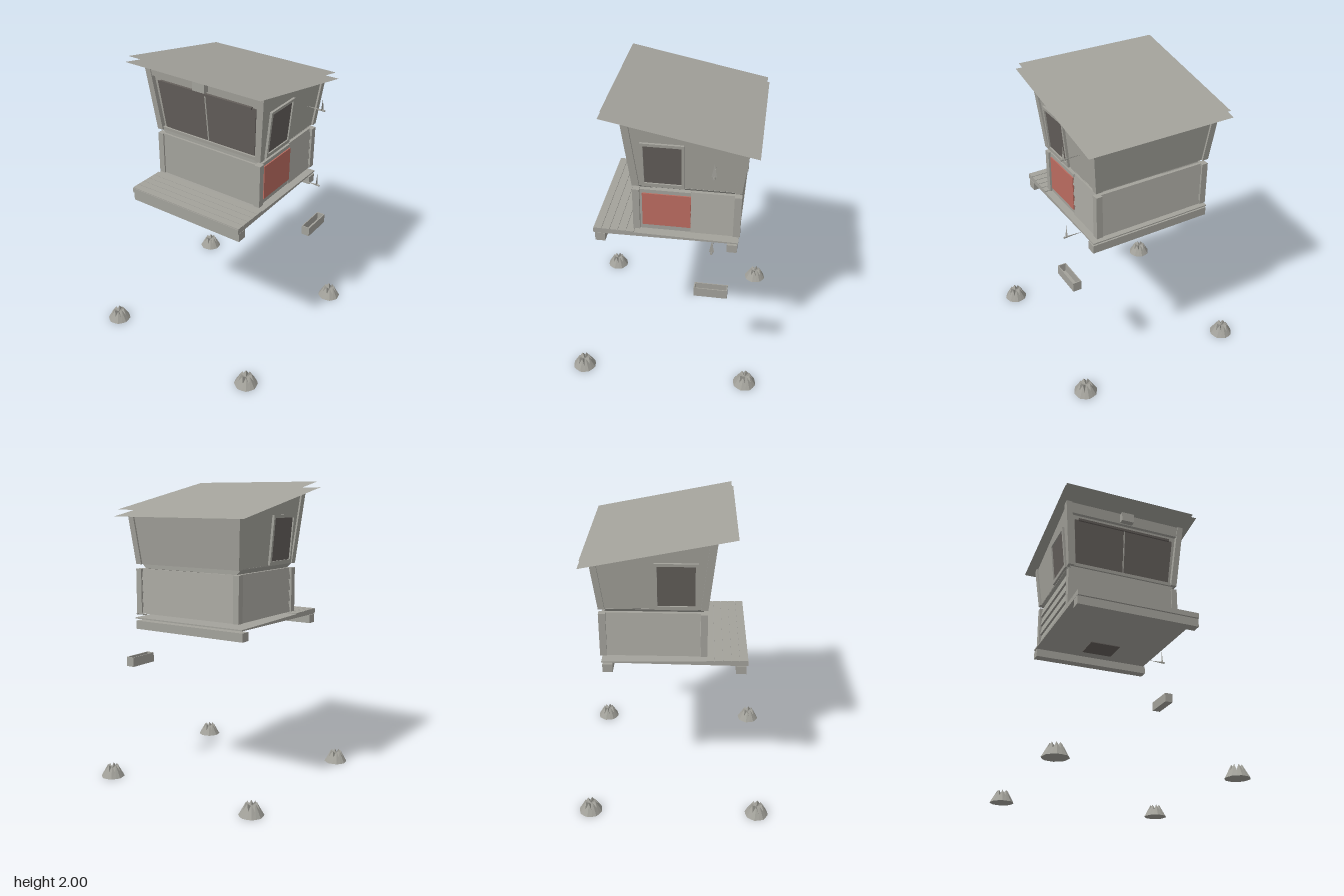
import * as THREE from 'three';

const mat = (name, color, side = THREE.FrontSide) => {
  const m = new THREE.MeshStandardMaterial({ color, side });
  m.name = name;
  return m;
};
const lerp = (a, b, t) => a + (b - a) * t;

export function createModel() {
  const model = new THREE.Group();
  model.name = 'watchCabin';
  const grey = mat('weathered grey', 0xa3a29b, THREE.DoubleSide);
  const dark = mat('dark glass', 0x645f5b);
  const red = mat('red panel', 0xbb6c60);

  const add = (name, geo, m, parent = model) => {
    const mesh = new THREE.Mesh(geo, m);
    mesh.name = name;
    parent.add(mesh);
    return mesh;
  };
  // Axis-aligned box from its limits
  const box = (name, m, x0, x1, y0, y1, z0, z1) => {
    const mesh = add(name, new THREE.BoxGeometry(x1 - x0, y1 - y0, z1 - z0), m);
    mesh.position.set((x0 + x1) / 2, (y0 + y1) / 2, (z0 + z1) / 2);
    return mesh;
  };
  // Box bent by a rule f(u, v, w) -> [x, y, z], each input 0..1
  const bent = (name, m, f) => {
    const g = new THREE.BoxGeometry(1, 1, 1);
    const p = g.attributes.position;
    for (let i = 0; i < p.count; i++) p.setXYZ(i, ...f(p.getX(i) + 0.5, p.getY(i) + 0.5, p.getZ(i) + 0.5));
    const o = new THREE.Vector3(...f(0, 0, 0));
    const [a, b, c] = [f(1, 0, 0), f(0, 1, 0), f(0, 0, 1)].map(q => new THREE.Vector3(...q).sub(o));
    if (a.cross(b).dot(c) < 0) {
      const ix = g.index;
      for (let i = 0; i < ix.count; i += 3) {
        const t = ix.getX(i);
        ix.setX(i, ix.getX(i + 1));
        ix.setX(i + 1, t);
      }
    }
    g.computeVertexNormals();
    return add(name, g, m);
  };

  // Flared outline of the upper cabin and the roof slope
  const Y = 1.465;
  const halfX = y => 0.405 + 0.045 * (y - Y) / 0.47;
  const frontZ = y => 0.21 + 0.05 * (y - Y) / 0.47;
  const backZ = y => -0.465 - 0.037 * (y - Y) / 0.32;
  const topY = z => 1.935 - 0.204 * (0.26 - z);

  // Roof: two thin sheets, sloping down to the back
  const roof = (name, hx, z0, z1, yFront) => {
    const drop = 0.2 * (z1 - z0);
    const r = add(name, new THREE.PlaneGeometry(2 * hx, Math.hypot(z1 - z0, drop)), grey);
    r.position.set(0, yFront - drop / 2, (z0 + z1) / 2);
    r.rotation.x = -Math.PI / 2 + Math.atan(-0.2) * -1;
    r.rotation.x = Math.atan(0.2) - Math.PI / 2 - 2 * Math.atan(0.2);
  };
  roof('upperRoofSheet', 0.483, -0.55, 0.36, 2);
  roof('lowerRoofSheet', 0.5, -0.562, 0.375, 1.962);

  // Lower walls
  box('lowerFrontWall', grey, -0.365, 0.365, 1.14, 1.435, 0.17, 0.2);
  box('lowerBackWall', grey, -0.365, 0.365, 1.14, 1.435, -0.445, -0.43);
  for (const s of [-1, 1]) {
    bent('lowerSideWall', grey, (u, v, w) => [s * lerp(0.365, 0.38, u), lerp(1.14, 1.435, v), lerp(-0.425, 0.165, w)]);
    for (const [z0, z1] of [[-0.467, -0.423], [0.167, 0.21]]) {
      bent('lowerCornerPost', grey, (u, v, w) => [s * lerp(0.363, 0.405, u), lerp(1.14, 1.435, v), lerp(z0, z1, w)]);
    }
  }
  // Lapped siding boards on both sides and the back
  const n = 4, h = 0.295 / n;
  for (let i = 0; i < n; i++) {
    const y0 = 1.14 + i * h;
    for (const s of [-1, 1]) {
      const zEnd = s > 0 ? -0.155 : 0.165;
      bent('sideBoard', grey, (u, v, w) => [s * lerp(0.378, lerp(0.398, 0.383, v), u), y0 + v * h, lerp(-0.425, zEnd, w)]);
    }
    bent('backBoard', grey, (u, v, w) => [lerp(-0.365, 0.365, u), y0 + v * h, -lerp(0.443, lerp(0.46, 0.448, v), w)]);
  }
  box('redPanel', red, 0.392, 0.4, 1.175, 1.41, -0.155, 0.15);
  box('redPanelBacking', grey, 0.378, 0.392, 1.14, 1.435, -0.155, 0.165);
  // Recessed rail between the storeys, undercut at the sides
  bent('middleRail', grey, (u, v, w) => [lerp(-1, 1, u) * lerp(0.36, 0.395, v), lerp(1.435, 1.47, v), lerp(-0.42, 0.185, w)]);

  // Upper corner posts and side walls
  for (const s of [-1, 1]) {
    for (const front of [true, false]) {
      bent('upperCornerPost', grey, (u, v, w) => {
        const zTop = front ? lerp(0.215, 0.26, w) : lerp(-0.502, -0.462, w);
        const y = lerp(Y, topY(zTop), v);
        const z = front ? frontZ(y) - 0.045 * (1 - w) : backZ(y) + 0.04 * w;
        return [s * (halfX(y) - 0.042 * (1 - u)), y, z];
      });
    }
    bent('upperSideWall', grey, (u, v, w) => {
      const y = lerp(Y, topY(lerp(-0.465, 0.22, w)), v);
      return [s * (halfX(y) - lerp(0.03, 0.012, u)), y, lerp(backZ(y) + 0.035, frontZ(y) - 0.04, w)];
    });
    // Side window with frame
    const plate = (name, m, z0, z1, y0, y1, d0, d1) => bent(name, m, (u, v, w) => {
      const y = lerp(y0, y1, v);
      return [s * (halfX(y) - lerp(d0, d1, u)), y, lerp(z0, z1, w)];
    });
    plate('sideWindow', dark, -0.105, 0.135, 1.49, 1.77, 0.013, 0.006);
    plate('sideWindowFrame', grey, -0.118, -0.1, 1.47, 1.787, 0.015, -0.004);
    plate('sideWindowFrame', grey, 0.13, 0.148, 1.47, 1.787, 0.015, -0.004);
    plate('sideWindowSill', grey, -0.118, 0.148, 1.47, 1.495, 0.015, -0.004);
    plate('sideWindowHead', grey, -0.118, 0.148, 1.768, 1.787, 0.015, -0.004);
  }
  // Upper front and back walls
  const frontPlate = (name, m, x0, x1, y0, y1, d0, d1) => bent(name, m, (u, v, w) => {
    const y = lerp(y0, y1, v);
    const k = halfX(y) / halfX(Y);
    return [lerp(x0, x1, u) * k, y, frontZ(y) - lerp(d0, d1, w)];
  });
  frontPlate('upperFrontWall', grey, -0.366, 0.366, Y, 1.92, 0.04, 0.03);
  frontPlate('frontHeader', grey, -0.366, 0.366, 1.855, 1.932, 0.03, 0.005);
  for (const s of [-1, 1]) {
    frontPlate('frontWindow', dark, Math.min(s * 0.004, s * 0.345), Math.max(s * 0.004, s * 0.345), 1.485, 1.82, 0.03, 0.024);
  }
  frontPlate('frontWindowMullion', grey, -0.004, 0.004, 1.485, 1.82, 0.03, 0.02);
  frontPlate('frontWindowSill', grey, -0.366, 0.366, Y, 1.487, 0.03, 0.012);
  frontPlate('frontWindowBar', dark, -0.32, 0.32, 1.812, 1.828, 0.03, 0.012);
  box('frontLampBox', grey, -0.045, 0.045, 1.858, 1.925, 0.25, 0.29);
  bent('upperBackWall', grey, (u, v, w) => {
    const y = lerp(Y, 1.785, v);
    return [lerp(-1, 1, u) * (halfX(y) - 0.04), y, backZ(y) + lerp(0.012, 0.03, w)];
  });

  // Deck: a floor that thickens towards the front, with open boards on the porch
  const floorTop = z => lerp(1.108, 1.123, (z + 0.46) / 0.93);
  bent('deckFloor', grey, (u, v, w) => {
    const z = lerp(-0.46, 0.47, w);
    return [lerp(-0.425, 0.425, u), v ? floorTop(z) : lerp(1.1, 1.09, w), z];
  });
  for (let i = 0; i < 5; i++) {
    const z = 0.205 + i * 0.053;
    bent('porchBoard', grey, (u, v, w) => [lerp(-0.425, 0.425, u), floorTop(z) + 0.006 * v, z + 0.049 * w]);
  }
  box('frontBeam', grey, -0.425, 0.425, 1.03, 1.088, 0.395, 0.46);
  box('backBeam', grey, -0.425, 0.425, 1.03, 1.086, -0.455, -0.39);
  box('floorHatch', dark, -0.1, 0.12, 1.091, 1.0985, -0.33, -0.15);

  // Pulley arms: slim spikes, each with a thin upright fin facing sideways
  const finShape = new THREE.Shape([[-0.016, 0], [0.016, 0], [0, 0.088]].map(p => new THREE.Vector2(...p)));
  for (const y of [1.655, 1.103]) {
    const arm = new THREE.Group();
    arm.name = 'pulleyArm';
    arm.position.set(0.42, y, -0.305);
    model.add(arm);
    const spike = add('armSpike', new THREE.ConeGeometry(0.008, 0.13, 4), grey, arm);
    spike.rotation.z = Math.PI / 2;
    spike.position.x = 0.065;
    const fin = add('armFin', new THREE.ShapeGeometry(finShape), grey, arm);
    fin.rotation.y = Math.PI / 2;
    fin.position.x = 0.11;
  }

  // Open-topped hanging crate
  box('crateBottom', grey, 0.495, 0.553, 0.75, 0.757, -0.415, -0.2);
  for (const x of [0.495, 0.547]) box('crateSide', grey, x, x + 0.006, 0.75, 0.815, -0.415, -0.2);
  for (const z of [-0.415, -0.206]) box('crateEnd', grey, 0.495, 0.553, 0.75, 0.815, z, z + 0.006);

  // Footings: pleated crowns with eight peaks
  const pos = [];
  const ring = (r0, r1, y0, y1) => Array.from({ length: 16 }, (_, i) => {
    const a = (i + 0.5) * Math.PI / 8, odd = i % 2;
    return [Math.cos(a) * (odd ? r1 : r0), odd ? y1 : y0, Math.sin(a) * (odd ? r1 : r0)];
  });
  const base = ring(0.08, 0.076, 0, 0), crown = ring(0.034, 0.054, 0.082, 0.04);
  for (let i = 0; i < 16; i++) {
    const j = (i + 1) % 16;
    pos.push(...base[i], ...crown[i], ...base[j], ...base[j], ...crown[i], ...crown[j]);
    pos.push(...crown[i], 0, 0.055, 0, ...crown[j]);
    pos.push(...base[i], ...base[j], 0, 0, 0);
  }
  const footGeo = new THREE.BufferGeometry();
  footGeo.setAttribute('position', new THREE.Float32BufferAttribute(pos, 3));
  footGeo.computeVertexNormals();
  for (const x of [-0.568, 0.568]) {
    for (const z of [-0.568, 0.568]) add('footing', footGeo, grey).position.set(x, 0, z);
  }
  return model;
}
